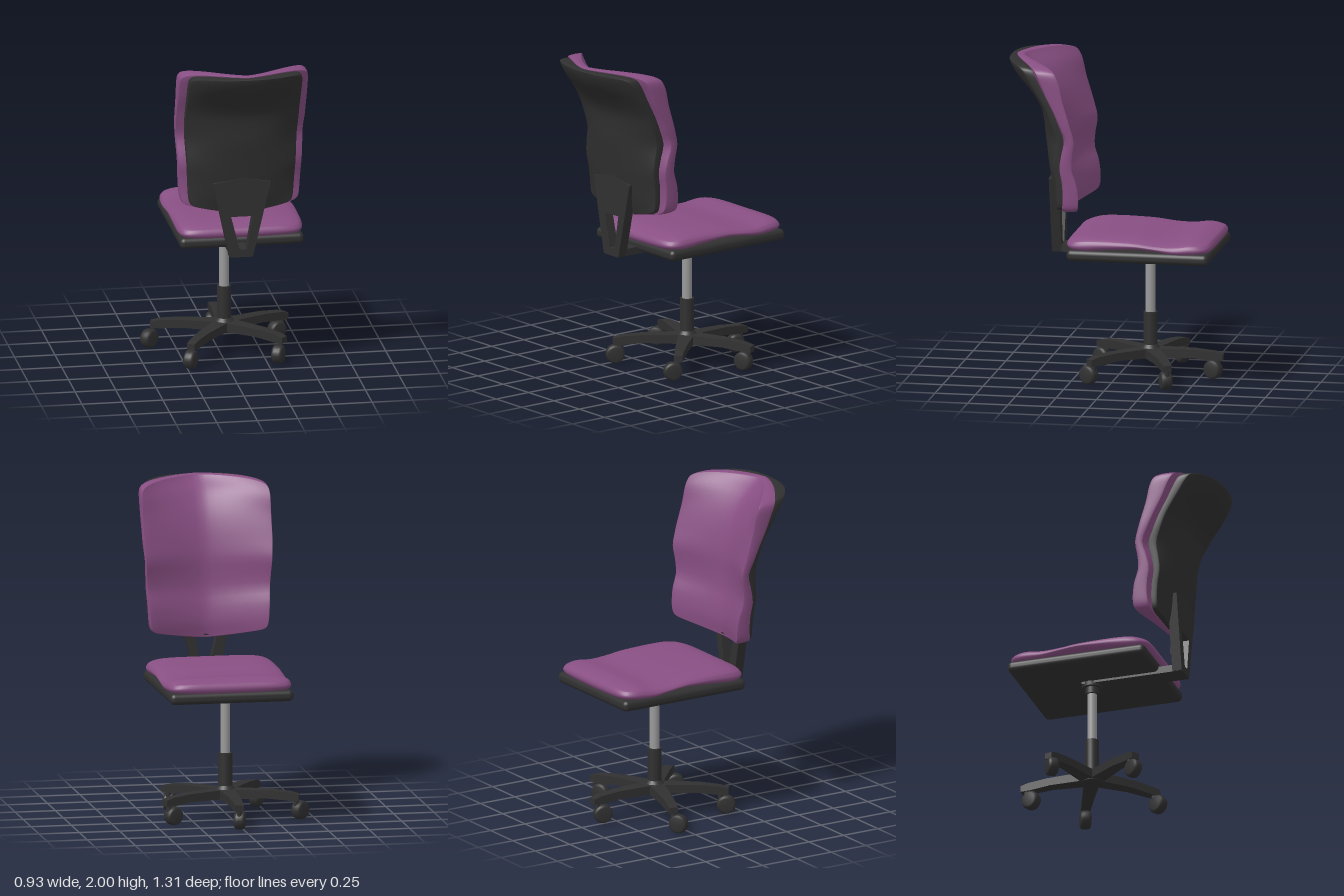
import * as THREE from 'three';
import { mergeVertices } from 'three/addons/utils/BufferGeometryUtils.js';
import { RoundedBoxGeometry } from 'three/addons/geometries/RoundedBoxGeometry.js';

const dark = new THREE.MeshStandardMaterial({ color: 0x303030 });
const fabric = new THREE.MeshStandardMaterial({ color: 0x884f83 });
const steel = new THREE.MeshStandardMaterial({ color: 0x999999 });

const CX = 0.035, CZ = -0.2; // column axis
const lerp = THREE.MathUtils.lerp;

function add(parent, name, geometry, material, x = 0, y = 0, z = 0) {
  const mesh = new THREE.Mesh(geometry, material);
  mesh.name = name;
  mesh.position.set(x, y, z);
  parent.add(mesh);
  return mesh;
}

// Smooth curve through evenly spaced values, t from 0 to 1
function profile(values) {
  const curve = new THREE.SplineCurve(values.map((v, i) => new THREE.Vector2(i, v)));
  return t => curve.getPoint(t).y;
}

// Smooth padded slab: u, v span the sheet (-1..1), w its thickness (0..1)
function slab(corner, rim, map) {
  let g = new THREE.BoxGeometry(2, 2, 1, 28, 36, 6);
  g.deleteAttribute('normal');
  g.deleteAttribute('uv');
  g = mergeVertices(g);
  const p = g.attributes.position;
  for (let i = 0; i < p.count; i++) {
    let u = Math.sin(p.getX(i) * Math.PI / 2), v = Math.sin(p.getY(i) * Math.PI / 2);
    const m = Math.max(Math.abs(u), Math.abs(v));
    const n = Math.pow(Math.abs(u) ** corner + Math.abs(v) ** corner, 1 / corner);
    // round the outline corners and the rim
    const wz = p.getZ(i);
    const k = (m > 0 ? m / n : 1) * (1 - 0.4 * rim * m ** 8 * wz * wz);
    u *= k;
    v *= k;
    p.setXYZ(i, ...map(u, v, 0.5 + wz * (1 - rim * m ** 16)));
  }
  g.computeVertexNormals();
  return g;
}

// Depth of the backrest from bottom to top
const frontEdge = profile([0.168, 0.168, 0.18, 0.208, 0.205, 0.193, 0.213, 0.238, 0.263, 0.28, 0.305]);
const frontMid = profile([0.31, 0.298, 0.308, 0.33, 0.335, 0.335, 0.35, 0.375, 0.415, 0.48, 0.575]);
const backMid = profile([0.335, 0.365, 0.385, 0.4, 0.415, 0.43, 0.437, 0.455, 0.52, 0.61, 0.66]);
const rimDepth = profile([0.11, 0.1, 0.09, 0.075, 0.06, 0.05, 0.065, 0.08, 0.1, 0.12, 0.13]);

const padFront = (t, e) => lerp(frontMid(t), frontEdge(t), e);
const padBack = (t, e) => padFront(t, e) + lerp((backMid(t) - frontMid(t)) * 0.6, rimDepth(t), e);
const shellBack = (t, e) => Math.max(padBack(t, e) + 0.014, lerp(backMid(t), padBack(t, e) + 0.025, e));

// Curved sheet whose depth depends on height t and sideways distance e
function backrest(half, top, bottom, front, back) {
  return slab(22, 0.1, (u, v, w) => {
    const t = (v + 1) / 2, e = Math.abs(u * half / 0.402) ** 1.4;
    const x = 0.055 + u * half * lerp(0.91, 1, Math.min(1, t * 1.6));
    const y = lerp(bottom + 0.06 * e, top - 0.035 * e * e * e, t);
    return [x, y, lerp(front(t, e), back(t, e), w)];
  });
}

function makeCaster(x, z, dx, dz) {
  const caster = new THREE.Group();
  caster.name = 'caster';
  // rolling direction is local +z
  const tread = [[0, -0.034], [0.042, -0.034], [0.053, -0.027], [0.058, -0.015], [0.058, 0.015], [0.053, 0.027], [0.042, 0.034], [0, 0.034]];
  const wheel = add(caster, 'wheel', new THREE.LatheGeometry(tread.map(p => new THREE.Vector2(...p)), 24), dark, 0, 0.06, 0);
  wheel.rotation.z = Math.PI / 2;
  add(caster, 'casterStem', new THREE.CylinderGeometry(0.016, 0.016, 0.08, 12), dark, 0, 0.1, -0.035);
  caster.position.set(x, 0, z);
  caster.rotation.y = Math.atan2(dx, dz);
  return caster;
}

export function createModel() {
  const chair = new THREE.Group();
  chair.name = 'officeChair';

  // Seat pan and wavy cushion
  add(chair, 'seatPan', new RoundedBoxGeometry(0.765, 0.07, 0.88, 4, 0.03), dark, 0.075, 0.825, -0.195);
  const seatTop = profile([0.92, 0.945, 0.95, 0.948, 0.943, 0.93, 0.926, 0.938, 0.925]);
  const seatLow = profile([0.855, 0.85, 0.862, 0.872, 0.878, 0.868, 0.85, 0.85, 0.855]);
  add(chair, 'seatCushion', slab(8, 0.3, (u, v, w) => {
    const t = (v + 1) / 2;
    const low = lerp(0.845, seatLow(t), u * u);
    return [0.075 + 0.389 * u, lerp(low, seatTop(t) - 0.028 * u ** 6, w), -0.19 - 0.45 * v];
  }), fabric);

  // Curved backrest: fabric pad and dark rear shell
  add(chair, 'backrestPad', backrest(0.402, 1.998, 1.03, padFront, padBack), fabric);
  add(chair, 'backrestShell', backrest(0.352, 1.99, 1.04, (t, e) => padBack(t, e) - 0.02, shellBack), dark);

  // Forked upright with a tapered opening
  const outline = new THREE.Shape([[-0.028, 0.776], [0.115, 0.776], [0.225, 1.25], [0.05, 1.28], [-0.128, 1.25]]
    .map(p => new THREE.Vector2(...p)));
  outline.holes.push(new THREE.Path([[0.033, 0.825], [-0.02, 1.035], [0.115, 1.035], [0.078, 0.825]]
    .map(p => new THREE.Vector2(...p))));
  const plate = new THREE.ExtrudeGeometry(outline, { depth: 0.06, bevelEnabled: false });
  add(chair, 'backUpright', plate, dark, 0, 0, 0.335);
  add(chair, 'supportBar', new THREE.BoxGeometry(0.135, 0.045, 0.645), dark, 0.047, 0.798, 0.0725);

  // Column
  const cylinder = (name, r0, r1, y0, y1, material) =>
    add(chair, name, new THREE.CylinderGeometry(r1, r0, y1 - y0, 32), material, CX, (y0 + y1) / 2, CZ);
  cylinder('upperCollar', 0.062, 0.062, 0.762, 0.8, dark);
  cylinder('lowerCollar', 0.042, 0.042, 0.72, 0.765, dark);
  cylinder('gasLift', 0.03, 0.03, 0.35, 0.73, steel);
  cylinder('columnSleeve', 0.043, 0.043, 0.18, 0.41, dark);
  cylinder('hubCone', 0.065, 0.043, 0.18, 0.208, dark);
  cylinder('hub', 0.065, 0.065, 0.128, 0.186, dark);

  // Five tapered legs, not quite evenly spread
  const legShape = new THREE.Shape([[0, 0.188], [0.28, 0.186], [0.4, 0.175], [0.452, 0.162], [0.452, 0.124], [0.39, 0.124], [0.26, 0.136], [0, 0.13]]
    .map(p => new THREE.Vector2(...p)));
  const legGeometry = new THREE.ExtrudeGeometry(legShape, { depth: 1, bevelEnabled: false });
  const p = legGeometry.attributes.position;
  for (let i = 0; i < p.count; i++) p.setZ(i, (p.getZ(i) - 0.5) * lerp(0.1, 0.052, p.getX(i) / 0.452));
  legGeometry.computeVertexNormals();
  for (const degrees of [90, 162, 234, 315, 24]) {
    const leg = add(chair, 'baseLeg', legGeometry, dark, CX, 0, CZ);
    leg.rotation.y = THREE.MathUtils.degToRad(degrees);
  }

  // Casters, each swivelled its own way: x, z, rolling direction
  const casters = [
    [-0.408, -0.312, -0.8, 0.6], [-0.228, 0.15, -0.5, 0.85], [0.315, 0.13, -0.4, 0.85],
    [0.388, -0.36, -0.85, 0.4], [0.02, -0.585, -0.3, 0.95],
  ];
  for (const c of casters) chair.add(makeCaster(...c));

  return chair;
}
